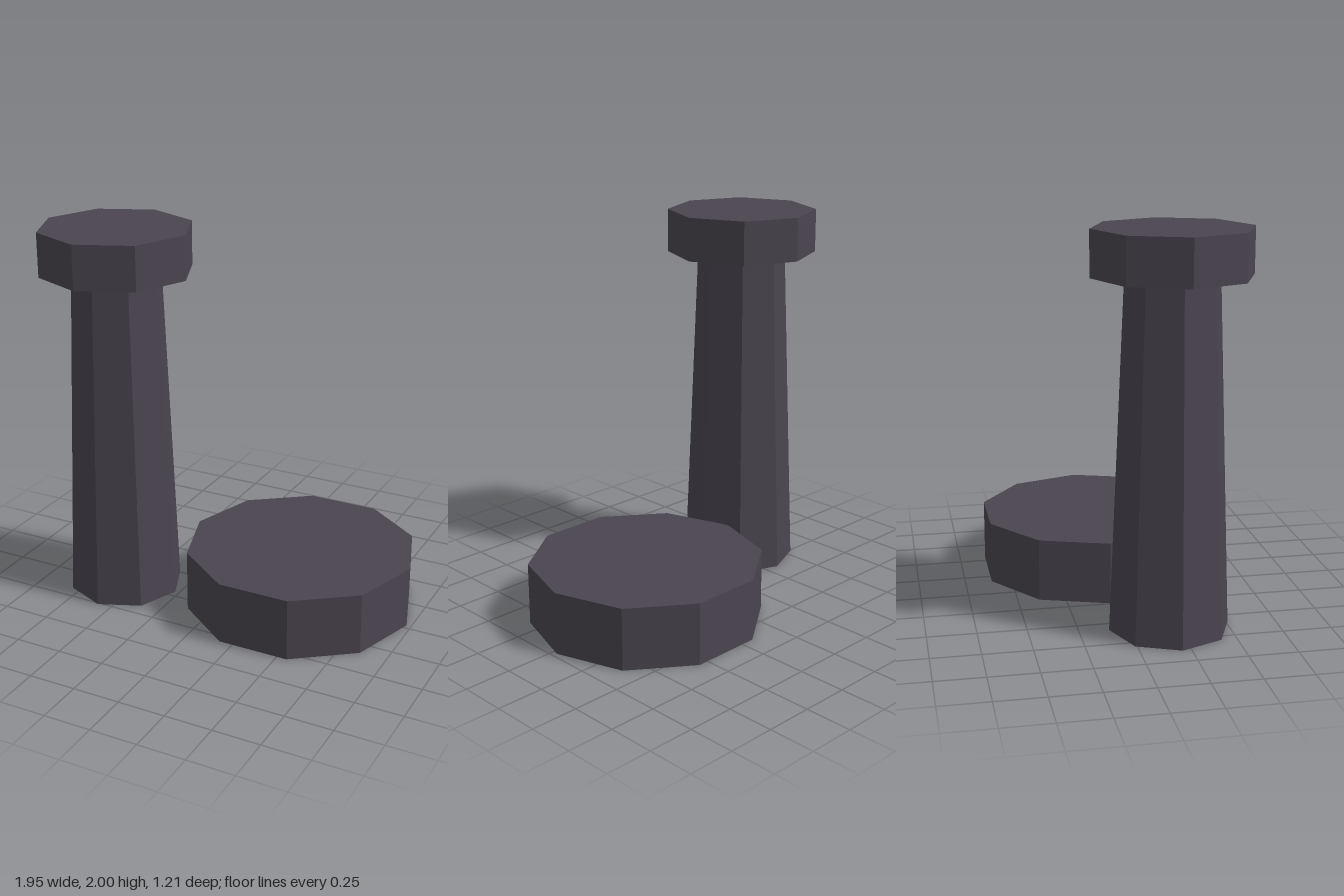
import * as THREE from 'three';

export function createModel() {
  const model = new THREE.Group();
  const stone = new THREE.MeshStandardMaterial({ color: 0x4a444f, flatShading: true });
  stone.name = 'dark stone';

  // Faceted drum standing between two heights, with one corner pointing along +x
  function drum(name, x, z, bottomY, topY, bottomRadius, topRadius, sides) {
    const geometry = new THREE.CylinderGeometry(
      topRadius, bottomRadius, topY - bottomY, sides, 1, false, Math.PI / 2);
    const mesh = new THREE.Mesh(geometry, stone);
    mesh.name = name;
    mesh.position.set(x, (bottomY + topY) / 2, z);
    return mesh;
  }

  // Tapered pillar with a wide cap
  const pillar = new THREE.Group();
  pillar.name = 'pillar';
  pillar.position.set(-0.579, 0, 0.206);
  pillar.add(
    drum('pillarShaft', 0, 0, 0, 1.77, 0.305, 0.235, 8),
    drum('pillarCap', 0, 0, 1.77, 2, 0.399, 0.399, 8));
  model.add(pillar);

  // Low round slab beside the pillar
  model.add(drum('slab', 0.365, -0.028, 0, 0.33, 0.61, 0.61, 10));

  return model;
}
